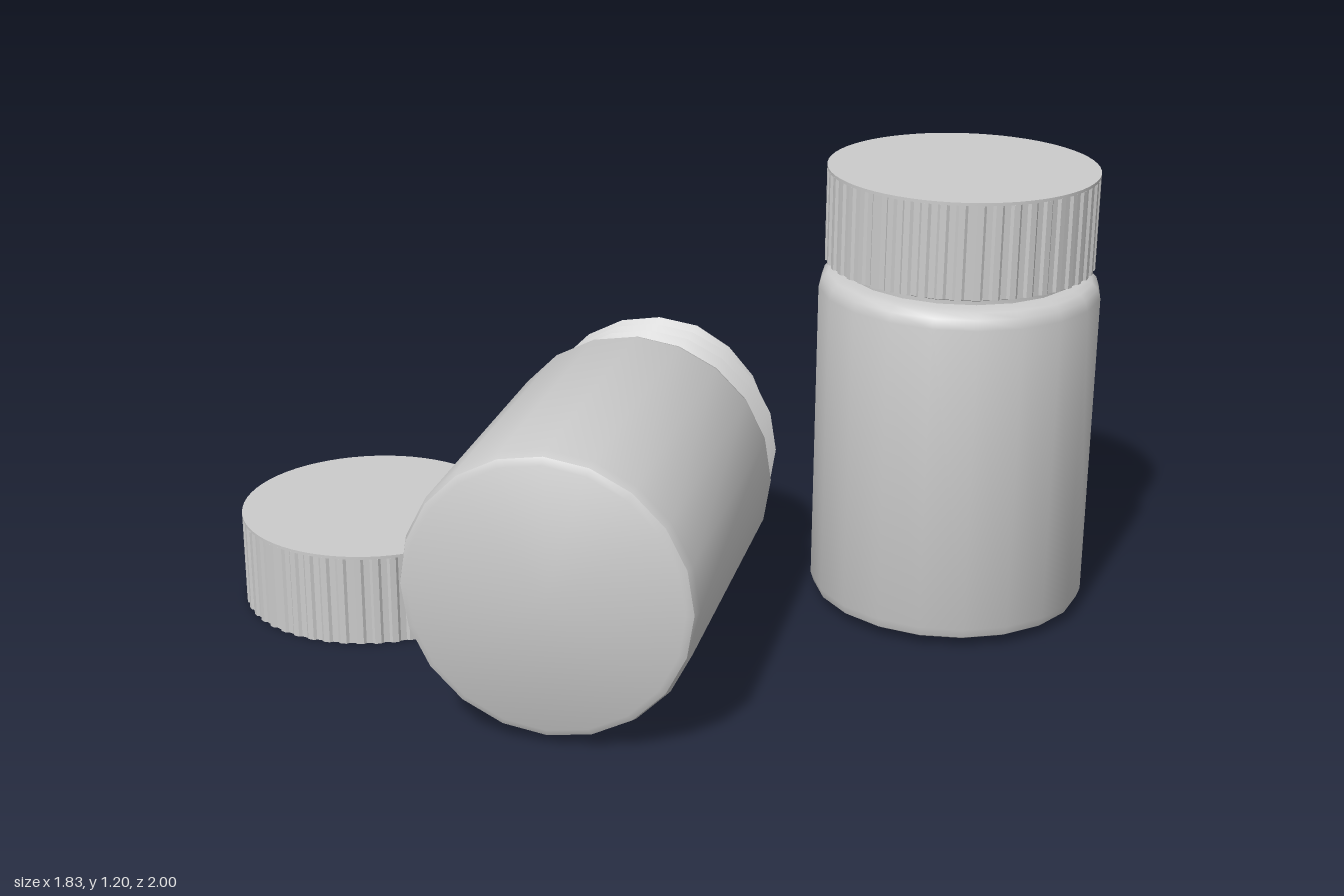
import * as THREE from 'three';
import { toCreasedNormals } from 'three/addons/utils/BufferGeometryUtils.js';

const SIDES = 20;
const grey = new THREE.MeshStandardMaterial({ color: 0xcccccc });
const blue = new THREE.MeshStandardMaterial({ color: 0x0f9be0 });

function part(name, geometry, material = grey) {
  const mesh = new THREE.Mesh(geometry, material);
  mesh.name = name;
  return mesh;
}

function lathe(points, sides) {
  const profile = points.map(([r, y]) => new THREE.Vector2(r, y));
  return toCreasedNormals(new THREE.LatheGeometry(profile, sides), 0.6);
}

// Triangular ridge winding up the neck, fading out at both ends
function threadGeometry(turns, pitch, startY) {
  const positions = [], indices = [];
  const steps = turns * SIDES;
  for (let i = 0; i <= steps; i++) {
    const angle = (i / SIDES) * Math.PI * 2;
    const y = startY + (i / SIDES) * pitch;
    const fade = Math.min(1, i / 4, (steps - i) / 4);
    for (const [r, dy] of [[0.303, -0.018], [0.305 + 0.033 * fade, 0], [0.303, 0.018]]) {
      positions.push(r * Math.sin(angle), y + dy, r * Math.cos(angle));
    }
    if (i === steps) continue;
    for (let j = 0; j < 2; j++) {
      const a = i * 3 + j, b = a + 3;
      indices.push(a, b, a + 1, b + 1, a + 1, b);
    }
  }
  const geometry = new THREE.BufferGeometry();
  geometry.setAttribute('position', new THREE.Float32BufferAttribute(positions, 3));
  geometry.setIndex(indices);
  return toCreasedNormals(geometry, 0.6);
}

// Hollow bottle standing on its own y = 0
function bottle(name) {
  const group = new THREE.Group();
  group.name = name;
  const shell = lathe([
    [0, 0], [0.342, 0], [0.36, 0.01], [0.368, 0.035],
    [0.368, 0.855], [0.36, 0.88], [0.345, 0.895], [0.325, 0.9], [0.303, 0.902],
    [0.303, 0.912], [0.318, 0.918], [0.318, 0.928], [0.305, 0.936],
    [0.305, 1.146], [0.29, 1.146],
    [0.29, 0.89], [0.34, 0.85], [0.34, 0.03], [0, 0.03],
  ], SIDES);
  group.add(part('bottleShell', shell), part('neckThread', threadGeometry(3, 0.057, 0.957)));
  return group;
}

// Cap with fine grip ridges
function cap(name) {
  const teeth = 48, points = [];
  for (let i = 0; i < teeth; i++) {
    for (const [t, r] of [[0, 0.344], [0.35, 0.344], [0.5, 0.35], [0.85, 0.35]]) {
      const angle = ((i + t) / teeth) * Math.PI * 2;
      points.push(new THREE.Vector2(r * Math.cos(angle), r * Math.sin(angle)));
    }
  }
  const ridged = new THREE.ExtrudeGeometry(new THREE.Shape(points), { depth: 0.242, bevelEnabled: false });
  ridged.rotateX(-Math.PI / 2);
  const disc = new THREE.CylinderGeometry(0.35, 0.35, 0.008, 64);
  disc.translate(0, 0.246, 0);
  const group = new THREE.Group();
  group.name = name;
  group.add(part('capGrip', ridged), part('capTop', toCreasedNormals(disc, 0.6)));
  return group;
}

// Two-tone capsule running between the centres of its rounded ends
const CAPSULE_R = 0.0475;
const halfCapsule = (() => {
  const points = [[CAPSULE_R, 0]];
  for (let i = 0; i <= 6; i++) {
    const a = (i / 6) * Math.PI / 2;
    points.push([CAPSULE_R * Math.cos(a), 0.094 + CAPSULE_R * Math.sin(a)]);
  }
  return lathe(points, 16);
})();

function capsule(blueEnd, greyEnd) {
  const a = new THREE.Vector3(...blueEnd), b = new THREE.Vector3(...greyEnd);
  const group = new THREE.Group();
  group.name = 'capsule';
  const blueHalf = part('blueHalf', halfCapsule, blue);
  const greyHalf = part('greyHalf', halfCapsule);
  greyHalf.rotation.x = Math.PI;
  group.add(blueHalf, greyHalf);
  group.position.copy(a).add(b).multiplyScalar(0.5);
  group.quaternion.setFromUnitVectors(new THREE.Vector3(0, 1, 0), a.sub(b).normalize());
  return group;
}

export function createModel() {
  const model = new THREE.Group();
  model.name = 'pillBottles';

  // Closed bottle
  const standing = bottle('standingBottle');
  standing.position.set(0.545, 0.02, 0.633);
  const fittedCap = cap('fittedCap');
  fittedCap.position.set(0.54, 0.95, 0.633);

  // Open bottle on its side, with its cap on the ground
  const lying = bottle('lyingBottle');
  lying.position.set(-0.79, 0.386, 0.28);
  lying.rotation.set(0, 0.365, -Math.PI / 2);
  const looseCap = cap('looseCap');
  looseCap.position.set(-0.35, 0, -0.65);
  model.add(standing, fittedCap, lying, looseCap);

  // Spilled capsules, then those still in the mouth of the bottle
  const floor = CAPSULE_R, inside = 0.155;
  const ends = [
    [[0.54, floor, -0.217], [0.425, floor, -0.372]],
    [[0.671, floor, -0.255], [0.859, floor, -0.255]],
    [[0.53, floor, -0.037], [0.704, floor, -0.107]],
    [[0.2, inside, -0.055], [0.377, inside, -0.115]],
    [[0.255, inside, -0.205], [0.115, inside, -0.08]],
    [[0.12, inside, 0.055], [-0.06, inside, 0.01]],
  ];
  for (const [blueEnd, greyEnd] of ends) model.add(capsule(blueEnd, greyEnd));

  return model;
}
